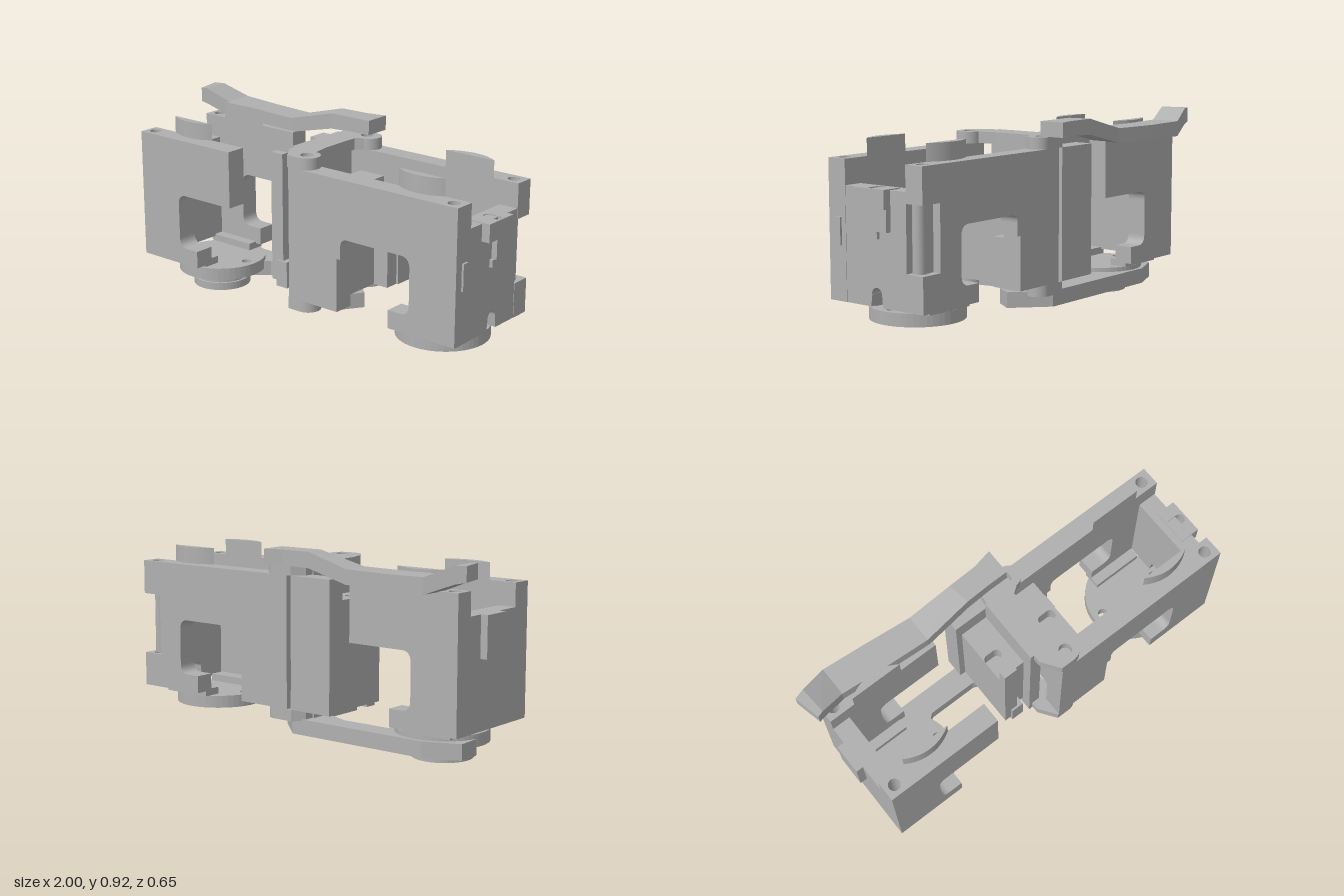
import * as THREE from 'three';

export function createModel() {
  const model = new THREE.Group();
  const gray = new THREE.MeshStandardMaterial({ color: 0xb0b0b0 });
  gray.name = 'machined gray';

  const add = (name, geometry) => {
    const mesh = new THREE.Mesh(geometry, gray);
    mesh.name = name;
    model.add(mesh);
    return mesh;
  };
  const box = (name, x0, x1, y0, y1, z0, z1) =>
    add(name, new THREE.BoxGeometry(x1 - x0, y1 - y0, z1 - z0)
      .translate((x0 + x1) / 2, (y0 + y1) / 2, (z0 + z1) / 2));
  const polygon = pts => new THREE.Shape(pts.map(p => new THREE.Vector2(p[0], p[1])));
  const hole = (shape, x, y, r) => shape.holes.push(new THREE.Path().absarc(x, y, r, 0, Math.PI * 2, true));
  const extrude = (shape, depth) =>
    new THREE.ExtrudeGeometry(shape, { depth, bevelEnabled: false, curveSegments: 24 });
  // Horizontal slab: shape is drawn as (x, -z)
  const slab = (name, shape, y0, y1) =>
    add(name, extrude(shape, y1 - y0).rotateX(-Math.PI / 2).translate(0, y0, 0));
  // Plate facing the front
  const plate = (name, shape, z0, z1) => add(name, extrude(shape, z1 - z0).translate(0, 0, z0));
  // Plate facing sideways: shape is drawn as (-z, y)
  const sidePlate = (name, shape, x0, x1) =>
    add(name, extrude(shape, x1 - x0).rotateY(Math.PI / 2).translate(x0, 0, 0));

  const LOW = 0.165, TOP = 0.795, WALL = 0.68, MID = 0.045;
  const sides = [['front', 0.225, 0.325], ['back', -0.225, -0.13]];

  // Long plate with a rounded leg opening
  function rightPlate(x0) {
    const s = new THREE.Shape();
    s.moveTo(x0, LOW); s.lineTo(0.31, LOW); s.lineTo(0.31, 0.42); s.lineTo(0.33, 0.42);
    s.lineTo(0.33, 0.48); s.quadraticCurveTo(0.33, 0.52, 0.37, 0.52);
    s.lineTo(0.665, 0.52); s.quadraticCurveTo(0.715, 0.52, 0.715, 0.47);
    s.lineTo(0.715, 0.3); s.quadraticCurveTo(0.715, 0.25, 0.665, 0.25);
    s.lineTo(0.6, 0.25); s.lineTo(0.6, LOW); s.lineTo(0.85, LOW);
    s.lineTo(0.85, TOP); s.lineTo(x0, TOP);
    return s;
  }
  // Short plate, open towards the middle
  function leftPlate() {
    const s = new THREE.Shape();
    s.moveTo(-0.83, LOW); s.lineTo(-0.57, LOW); s.lineTo(-0.57, 0.25); s.lineTo(-0.635, 0.25);
    s.quadraticCurveTo(-0.685, 0.25, -0.685, 0.3); s.lineTo(-0.685, 0.47);
    s.quadraticCurveTo(-0.685, 0.52, -0.635, 0.52); s.lineTo(-0.345, 0.52);
    s.lineTo(-0.345, TOP); s.lineTo(-0.83, TOP);
    return s;
  }
  // Corner post with a vertical bolt hole
  function post(name, x0, x1, z0, z1, y0, y1) {
    const s = polygon([[x0, -z1], [x1, -z1], [x1, -z0], [x0, -z0]]);
    hole(s, x0 < 0 ? -0.88 : 0.905, -(z0 + z1) / 2, 0.028);
    slab(name, s, y0, y1);
  }

  for (const [side, z0, z1] of sides) {
    plate(side + 'RightPlate', rightPlate(0.025), z0, z1);
    plate(side + 'LeftPlate', leftPlate(), z0, z1);
    post(side + 'LeftPost', -0.93, -0.83, z0, z1, LOW, TOP);
    if (side === 'front') post('frontRightPost', 0.85, 0.96, z0, z1, LOW, TOP);
    else {
      post('backRightLowerPost', 0.85, 0.96, z0, z1, LOW, 0.33);
      post('backRightUpperPost', 0.85, 0.96, z0, z1, 0.63, TOP);
      box('backRightRecess', 0.85, 0.91, 0.33, 0.63, -0.185, z1);
      add('recessPin', new THREE.CylinderGeometry(0.03, 0.03, 0.3, 16).translate(0.91, 0.48, -0.16));
    }
    // Raised round segments on top of the plates
    for (const cx of [-0.67, 0.7]) {
      const a = Math.asin((side === 'front' ? 0.18 : 0.175) / 0.218);
      const s = new THREE.Shape();
      if (side === 'front') s.absarc(cx, -MID, 0.218, -Math.PI + a, -a, false);
      else s.absarc(cx, -MID, 0.218, a, Math.PI - a, false);
      slab(side + 'TopSegment', s, TOP, 0.875);
    }
  }
  // Slanted tip of the front left plate
  slab('frontPlateTip', polygon([[-0.345, -0.225], [-0.345, -0.26], [-0.37, -0.325], [-0.375, -0.225]]), 0.52, TOP);
  box('backMiddlePlate', -0.23, 0.0, LOW, TOP, -0.225, -0.13);
  box('slotBacking', -0.005, 0.03, LOW, 0.25, -0.2, -0.14);

  // Right end wall with an arched cable opening
  const wall = new THREE.Shape();
  wall.moveTo(-0.225, LOW); wall.lineTo(-0.08, LOW); wall.lineTo(-0.073, 0.22);
  wall.absarc(-MID, 0.22, 0.03, Math.PI, 0, true);
  wall.lineTo(-0.01, LOW); wall.lineTo(0.13, LOW); wall.lineTo(0.13, WALL); wall.lineTo(-0.225, WALL);
  sidePlate('rightEndWall', wall, 0.865, 0.958);

  // Bosses with an oblong slot, one on each cross wall
  function boss(name, x0, x1, z0, z1, y0, sx) {
    const s = polygon([[x0, -z1], [x1, -z1], [x1, -z0], [x0, -z0]]);
    const p = new THREE.Path();
    p.absarc(sx + 0.02, -MID, 0.024, Math.PI / 2, -Math.PI / 2, true);
    p.absarc(sx - 0.02, -MID, 0.024, -Math.PI / 2, -Math.PI * 1.5, true);
    s.holes.push(p);
    slab(name, s, y0, WALL + 0.005);
  }
  box('leftEndWall', -0.93, -0.84, LOW, 0.6, -0.13, 0.225);
  boss('leftEndWallTop', -0.93, -0.84, -0.13, 0.225, 0.6, -0.89);
  box('leftBoss', -0.965, -0.93, 0.49, WALL + 0.005, -0.05, 0.095);
  boss('rightBoss', 0.9, 0.998, -0.04, 0.14, 0.6, 0.945);
  box('rightBossLip', 0.95, 0.985, 0.5, 0.6, -0.04, 0.06);
  box('rightBossTab', 0.95, 0.975, 0.465, 0.5, 0.025, 0.075);
  box('rightRib', 0.95, 0.97, 0.415, 0.54, 0.25, 0.285);

  // Middle walls facing each cell
  box('middleRightWall', 0.08, 0.22, LOW, 0.6, -0.13, 0.225);
  boss('middleRightWallTop', 0.08, 0.22, -0.13, 0.225, 0.6, 0.16);
  box('middleBracket', 0.22, 0.3, LOW, 0.4, -0.13, -0.06);
  box('middleLeftWall', -0.2, -0.06, LOW, 0.6, -0.13, 0.15);
  boss('middleLeftWallTop', -0.2, -0.06, -0.13, 0.15, 0.6, -0.155);
  box('middleFlange', -0.2, -0.13, LOW, TOP, 0.15, 0.19);
  box('middleFoot', -0.165, -0.1, 0.14, 0.27, 0.14, 0.2);
  box('middlePillar', -0.06, 0.0, 0.1, 0.85, -0.13, 0.2);

  // Links bridging front and back plates above and below
  const link = (name, y0, y1) => {
    const s = new THREE.Shape();
    s.moveTo(-0.05, 0.175); s.lineTo(-0.055, 0.03); s.lineTo(-0.045, -0.12);
    s.lineTo(-0.04, -0.24); s.lineTo(0.02, -0.325); s.lineTo(0.09, -0.325);
    s.absarc(0.09, -0.265, 0.06, -Math.PI / 2, Math.PI / 2, false);
    s.lineTo(0.075, -0.12); s.lineTo(0.075, 0.09);
    s.lineTo(0.11, 0.115); s.absarc(0.105, 0.17, 0.055, -Math.PI / 2, Math.PI / 2, false);
    s.lineTo(0.0, 0.225);
    hole(s, 0.085, -0.265, 0.03);
    hole(s, 0.085, 0.172, 0.03);
    slab(name, s, y0, y1);
  };
  link('topLink', TOP, 0.85);
  link('bottomLink', 0.11, LOW);

  // Round turntable flanges under each cell
  for (const cx of [-0.67, 0.7]) {
    const s = new THREE.Shape().absarc(cx, -MID, 0.217, 0, Math.PI * 2, false);
    for (let i = 0; i < 4; i++) {
      const a = i * Math.PI / 2;
      hole(s, cx + 0.165 * Math.cos(a), -MID + 0.165 * Math.sin(a), 0.024);
    }
    slab('turntable', s, 0.08, 0.14);
    const m = Math.sign(cx);
    for (const z of [-0.17, 0.15])
      box('turntableSpacer', Math.min(m * 0.6, m * 0.86), Math.max(m * 0.6, m * 0.86), 0.14, LOW + 0.01, z, z + 0.09);
  }
  // Pivot puck below the left cell
  for (const [r, y0, y1] of [[0.142, 0, 0.037], [0.13, 0.037, 0.08]]) {
    const s = new THREE.Shape().absarc(-0.67, -0.05, r, 0, Math.PI * 2, false);
    hole(s, -0.67, -0.05, 0.028);
    slab('pivotPuck', s, y0, y1);
  }

  // Lower arm
  slab('lowerArm', polygon([[0.18, 0.04], [0.02, 0.19], [-0.3, 0.19], [-0.72, 0.19], [-0.89, 0.12],
    [-0.885, 0.0], [-0.76, -0.07], [-0.62, -0.07], [-0.45, 0.075], [-0.2, 0.075], [0.12, -0.05]].reverse()), 0.043, 0.118);

  // Bent upper arm: sections of back x, front x, back z, front z, low y, high y
  const sections = [
    [-1.0, -0.97, -0.27, -0.14, 0.85, 0.92], [-0.95, -0.94, -0.285, -0.15, 0.84, 0.92],
    [-0.82, -0.82, -0.325, -0.18, 0.79, 0.865], [-0.62, -0.62, -0.31, -0.165, 0.79, 0.86],
    [-0.37, -0.37, -0.285, -0.15, 0.79, 0.86], [-0.15, -0.13, -0.275, -0.165, 0.845, 0.92],
    [0.0, 0.0, -0.28, -0.17, 0.85, 0.92], [0.095, 0.095, -0.3, -0.17, 0.85, 0.92]];
  const n = sections.length - 1;
  const arm = new THREE.BoxGeometry(1, 1, 1, n, 1, 1).toNonIndexed();
  const p = arm.attributes.position;
  for (let i = 0; i < p.count; i++) {
    const c = sections[Math.round((p.getX(i) + 0.5) * n)];
    const f = p.getZ(i) > 0 ? 1 : 0;
    p.setXYZ(i, c[f], p.getY(i) > 0 ? c[5] : c[4], c[2 + f]);
  }
  arm.computeVertexNormals();
  add('upperArm', arm);

  return model;
}
